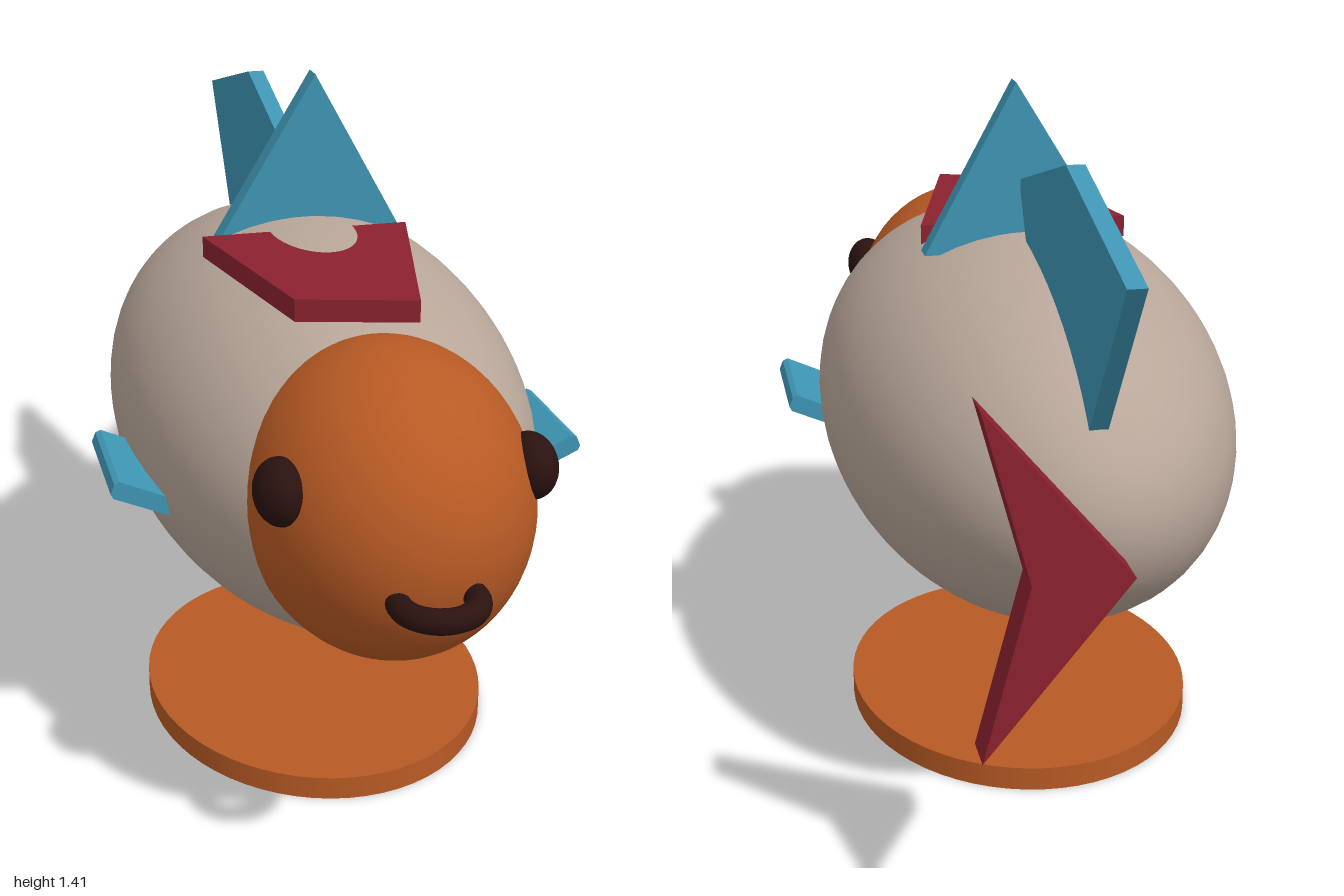
import * as THREE from 'three';

const paint = (name, color) => {
  const m = new THREE.MeshStandardMaterial({ color });
  m.name = name;
  return m;
};

export function createModel() {
  const model = new THREE.Group();
  model.name = 'fish';

  const tan = paint('warm grey', 0xb8a699);
  const orange = paint('burnt orange', 0xb85a24);
  const blue = paint('sea blue', 0x3f96b4);
  const red = paint('dark red', 0x8c2230);
  const dark = paint('dark brown', 0x2a1210);

  const add = (name, geometry, material, x = 0, y = 0, z = 0) => {
    const mesh = new THREE.Mesh(geometry, material);
    mesh.name = name;
    mesh.position.set(x, y, z);
    model.add(mesh);
    return mesh;
  };

  const ellipsoid = (rx, ry, rz, segments = 64) =>
    new THREE.SphereGeometry(1, segments, segments / 2).scale(rx, ry, rz);

  // Flat plate: outline in xy, thickness along +z
  const plate = (points, depth) =>
    new THREE.ExtrudeGeometry(
      new THREE.Shape(points.map(([x, y]) => new THREE.Vector2(x, y))),
      { depth, bevelEnabled: false }
    );

  // Body and head
  add('body', ellipsoid(0.425, 0.394, 0.81), tan, 0, 0.718, 0);
  add('head', ellipsoid(0.277, 0.304, 0.332), orange, 0, 0.748, 0.58);

  // Ring mouth, lying flat
  add('mouth', new THREE.TorusGeometry(0.071, 0.0235, 16, 40).rotateX(Math.PI / 2),
    dark, 0, 0.69, 0.905);

  // Eyes and pectoral fins, mirrored
  const finOutline = [[0.34, 0.66], [0.473, 0.721], [0.484, 0.716], [0.492, 0.696],
    [0.487, 0.686], [0.36, 0.63]];
  for (const [side, s] of [['left', 1], ['right', -1]]) {
    add(side + 'Eye', ellipsoid(0.05, 0.0625, 0.07, 32), dark, s * 0.236, 0.84, 0.708);
    add(side + 'PectoralFin', plate(finOutline.map(([x, y]) => [s * x, y]), 0.27),
      blue, 0, 0, 0.07);
  }

  // Upright triangular fin across the back
  add('crossFin', plate([[-0.187, 1.067], [0.217, 1.067], [0.026, 1.415]], 0.05),
    blue, 0, 0, -0.117);

  // Dorsal fin along the back; outline in (z, y)
  add('dorsalFin',
    plate([[-0.105, 1.215], [-0.525, 1.33], [-0.965, 1.217], [-0.73, 0.897],
      [-0.6, 0.72], [-0.3, 0.9]], 0.036).rotateY(-Math.PI / 2),
    blue, 0.018, 0, 0);

  // Flat plate on the back, which the body swells through; outline in (x, -z)
  add('backPlate',
    plate([[-0.233, 0], [-0.143, -0.437], [0.085, -0.5], [0.207, 0]], 0.044)
      .rotateX(-Math.PI / 2),
    red, 0, 1.059, 0);

  // Tail fin, turned to the side
  add('tailFin', plate([[0, 0.725], [0.265, 0.4], [0.18, 0.725], [0.265, 1.04]], 0.075),
    red, 0, 0, -1);

  // Oval base
  add('base', new THREE.CylinderGeometry(1, 1, 0.05, 64).scale(0.375, 1, 0.463),
    orange, 0, 0.025, 0.008);

  return model;
}
